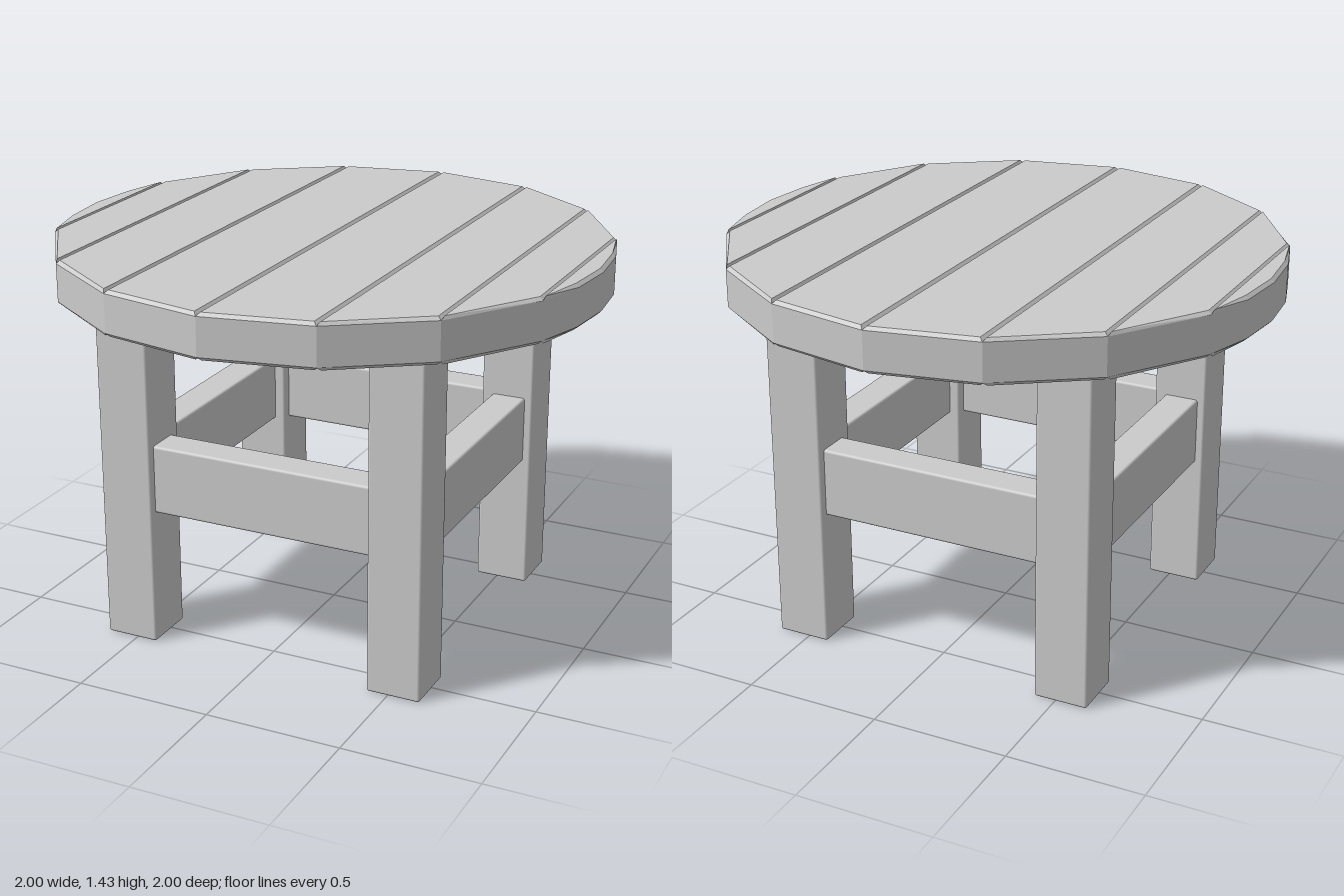
import * as THREE from 'three';
import { RoundedBoxGeometry } from 'three/addons/geometries/RoundedBoxGeometry.js';

const TOP = 1.43, UNDER = 1.27, BEVEL = 0.012;

export function createModel() {
  const model = new THREE.Group();
  model.name = 'roundTable';
  const wood = new THREE.MeshStandardMaterial({ color: 0xcccccc });
  const flatWood = new THREE.MeshStandardMaterial({ color: 0xcccccc, flatShading: true });

  // Bevelled board between angles (degrees from the x = 0 axis) on the unit circle
  function plank(angles, side, name) {
    const rim = angles.map((a) => {
      const t = THREE.MathUtils.degToRad(a);
      return new THREE.Vector2(side * Math.sin(t), Math.cos(t));
    });
    const far = rim.slice().reverse()
      .filter((p) => p.y > 0.001)
      .map((p) => new THREE.Vector2(p.x, -p.y));
    const geometry = new THREE.ExtrudeGeometry(new THREE.Shape([...rim, ...far]), {
      depth: TOP - UNDER - 2 * BEVEL,
      bevelEnabled: true, bevelSegments: 1,
      bevelSize: BEVEL, bevelThickness: BEVEL, bevelOffset: -BEVEL,
    });
    geometry.rotateX(-Math.PI / 2).translate(0, UNDER + BEVEL, 0);
    const mesh = new THREE.Mesh(geometry, flatWood);
    mesh.name = name;
    return mesh;
  }

  // Softly rounded timber
  function timber(w, h, d, x, y, z, name) {
    const mesh = new THREE.Mesh(new RoundedBoxGeometry(w, h, d, 2, 0.01), wood);
    mesh.position.set(x, y, z);
    mesh.name = name;
    return mesh;
  }

  // Tabletop: four planks on each side, the outer one with a finer rim
  const tabletop = new THREE.Group();
  tabletop.name = 'tabletop';
  const spans = [[0, 22.5], [22.5, 45], [45, 67.5], [67.5, 78.75, 90]];
  for (const side of [-1, 1]) {
    spans.forEach((span, i) => {
      tabletop.add(plank(span, side, (side > 0 ? 'leftPlank' : 'rightPlank') + (i + 1)));
    });
  }
  model.add(tabletop);

  // Legs
  for (const x of [-0.52, 0.52]) {
    for (const z of [-0.52, 0.52]) {
      const name = (z > 0 ? 'front' : 'back') + (x > 0 ? 'Left' : 'Right') + 'Leg';
      model.add(timber(0.2, 1.28, 0.2, x, 0.64, z, name));
    }
  }

  // Rails joining the legs
  for (const s of [-1, 1]) {
    model.add(timber(0.86, 0.255, 0.13, 0, 0.628, s * 0.525, s > 0 ? 'frontRail' : 'backRail'));
    model.add(timber(0.13, 0.255, 0.86, s * 0.525, 0.628, 0, s > 0 ? 'leftRail' : 'rightRail'));
  }
  return model;
}
